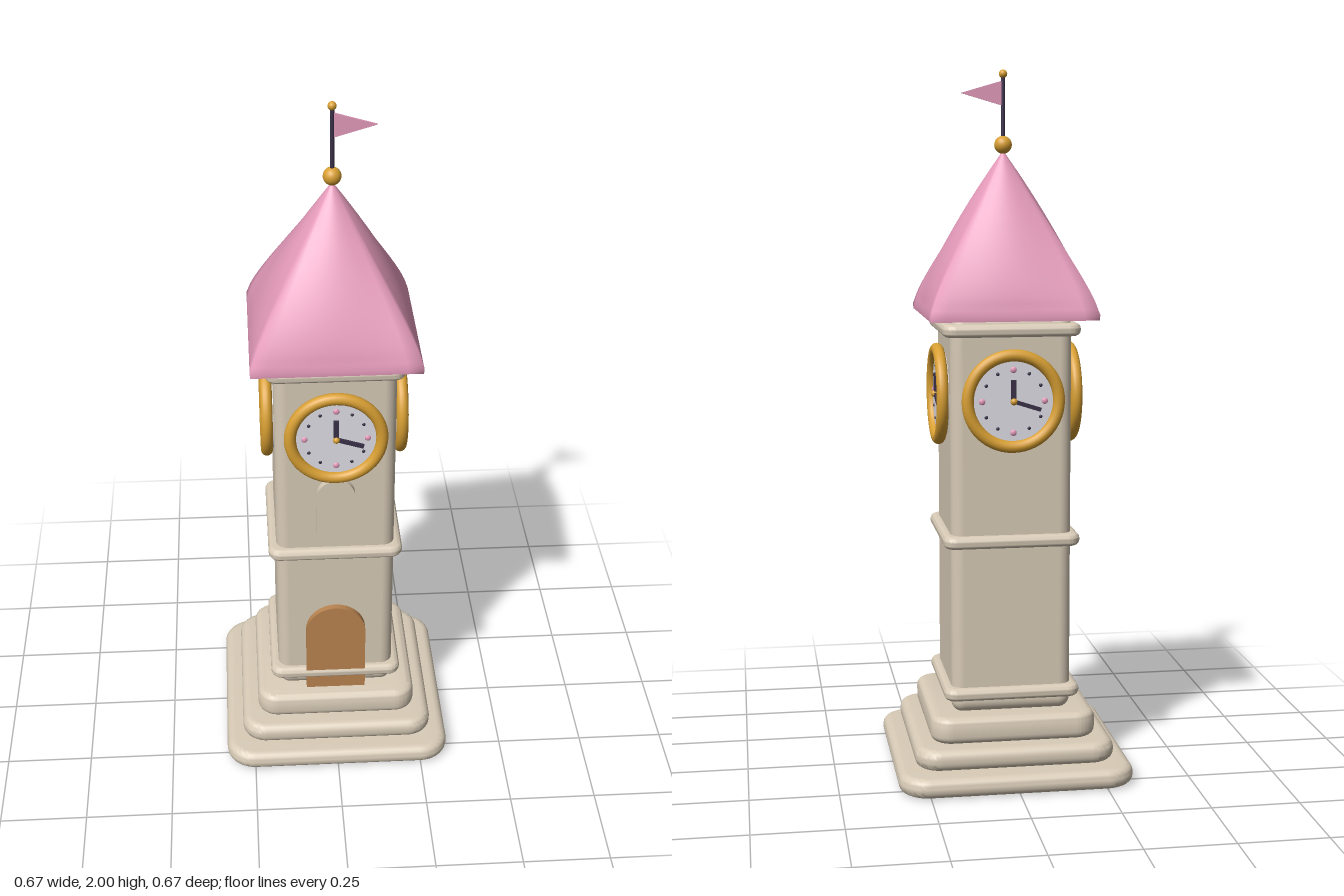
import * as THREE from 'three';
import { toCreasedNormals } from 'three/addons/utils/BufferGeometryUtils.js';
import { RoundedBoxGeometry } from 'three/addons/geometries/RoundedBoxGeometry.js';

const paint = (name, color) => {
  const m = new THREE.MeshStandardMaterial({ color });
  m.name = name;
  return m;
};

const STONE = paint('stone', 0xd8cbb7);
const ROOF = paint('roofPink', 0xe59bbb);
const GOLD = paint('gold', 0xd9a033);
const WOOD = paint('doorWood', 0xb98450);
const DIAL = paint('dialWhite', 0xe2e0e8);
const DARK = paint('darkPurple', 0x3a3048);
ROOF.side = THREE.DoubleSide;

function add(parent, name, geometry, material, x = 0, y = 0, z = 0) {
  const mesh = new THREE.Mesh(geometry, material);
  mesh.name = name;
  mesh.position.set(x, y, z);
  parent.add(mesh);
  return mesh;
}

// Square slab with rounded corners in plan and soft top and bottom edges
function slab(half, height, corner, bevel) {
  const h = half - bevel, r = corner - bevel;
  const s = new THREE.Shape();
  s.moveTo(h, -h + r);
  s.absarc(h - r, h - r, r, 0, Math.PI / 2);
  s.absarc(-h + r, h - r, r, Math.PI / 2, Math.PI);
  s.absarc(-h + r, -h + r, r, Math.PI, Math.PI * 1.5);
  s.absarc(h - r, -h + r, r, Math.PI * 1.5, Math.PI * 2);
  const g = new THREE.ExtrudeGeometry(s, {
    depth: height - 2 * bevel, bevelSize: bevel, bevelThickness: bevel, bevelSegments: 5, curveSegments: 8,
  });
  g.rotateX(-Math.PI / 2).translate(0, bevel, 0);
  return toCreasedNormals(g, 0.7);
}

// Arched panel standing on its base line
function arch(halfWidth, height, depth) {
  const s = new THREE.Shape();
  s.moveTo(-halfWidth, 0);
  s.lineTo(halfWidth, 0);
  s.absarc(0, height - halfWidth, halfWidth, 0, Math.PI);
  s.closePath();
  return new THREE.ExtrudeGeometry(s, { depth, bevelEnabled: false, curveSegments: 20 });
}

// Curved roof: square at the eaves, turning round towards the tip
function roofGeometry() {
  const SEG = 64, ROWS = 24, y0 = 1.345, y1 = 1.775;
  const rows = [[1.315, 0.233, 1], [1.33, 0.234, 1]];
  for (let i = 0; i <= ROWS; i++) {
    const s = i / ROWS;
    rows.push([y0 + (y1 - y0) * s, 0.228 * (1 - s ** 1.35) + 0.001, 1 - s]);
  }
  const pos = [], index = [];
  rows.forEach(([y, half, square], j) => {
    for (let i = 0; i < SEG; i++) {
      const a = (i / SEG) * Math.PI * 2, c = Math.cos(a), s = Math.sin(a);
      const r = half * (1 - square + square / Math.max(Math.abs(c), Math.abs(s)));
      pos.push(c * r, y, s * r);
      if (j === 0) continue;
      const n = (i + 1) % SEG, lo = (j - 1) * SEG, hi = j * SEG;
      index.push(lo + i, hi + i, lo + n, lo + n, hi + i, hi + n);
    }
  });
  const g = new THREE.BufferGeometry();
  g.setAttribute('position', new THREE.Float32BufferAttribute(pos, 3));
  g.setIndex(index);
  g.computeVertexNormals();
  return g;
}

function clock() {
  const g = new THREE.Group();
  g.name = 'clock';
  const disc = (r, depth) => new THREE.CylinderGeometry(r, r, depth, 40).rotateX(Math.PI / 2);
  add(g, 'dial', disc(0.125, 0.025), DIAL, 0, 0, 0.178);
  add(g, 'dialRing', new THREE.TorusGeometry(0.128, 0.017, 16, 56), GOLD, 0, 0, 0.19);
  // Hour marks, larger at the quarters
  for (let i = 0; i < 12; i++) {
    const a = (i / 12) * Math.PI * 2, major = i % 3 === 0;
    add(g, 'hourMark', new THREE.SphereGeometry(major ? 0.009 : 0.005, 12, 8), major ? ROOF : DARK,
      Math.sin(a) * 0.088, Math.cos(a) * 0.088, 0.191).scale.z = 0.5;
  }
  // Hands pivot on the hub
  const hand = (name, length, width, angle) => {
    const geo = new THREE.BoxGeometry(width, length, 0.008).translate(0, length / 2, 0);
    add(g, name, geo, DARK, 0, 0, 0.196).rotation.z = angle;
  };
  hand('hourHand', 0.06, 0.014, 0);
  hand('minuteHand', 0.08, 0.011, -1.88);
  add(g, 'hub', new THREE.SphereGeometry(0.01, 16, 10), GOLD, 0, 0, 0.198);
  return g;
}

export function createModel() {
  const model = new THREE.Group();
  model.name = 'clockTower';

  // Stepped base
  add(model, 'baseStep', slab(0.334, 0.056, 0.085, 0.025), STONE, 0, 0, 0);
  add(model, 'baseStep', slab(0.284, 0.06, 0.07, 0.025), STONE, 0, 0.06, 0);
  add(model, 'baseStep', slab(0.236, 0.075, 0.06, 0.022), STONE, 0, 0.121, 0);

  // Shaft and string courses
  add(model, 'shaft', new RoundedBoxGeometry(0.342, 1.14, 0.342, 5, 0.035), STONE, 0, 0.76, 0);
  for (const y of [0.25, 0.69, 1.285]) {
    add(model, 'stoneBand', slab(0.194, 0.036, 0.035, 0.016), STONE, 0, y - 0.018, 0);
  }

  // Door and blind window on the front
  add(model, 'door', arch(0.088, 0.298, 0.04), WOOD, 0, 0.197, 0.15);
  add(model, 'window', arch(0.055, 0.18, 0.04), STONE, 0, 0.768, 0.152);

  // One clock on each side
  for (let i = 0; i < 4; i++) {
    const c = clock();
    c.position.y = 1.09;
    c.rotation.y = (i * Math.PI) / 2;
    model.add(c);
  }

  // Roof and its flat underside
  add(model, 'roof', roofGeometry(), ROOF);
  add(model, 'roofUnderside', new THREE.PlaneGeometry(0.466, 0.466).rotateX(Math.PI / 2), ROOF, 0, 1.315, 0);

  // Finial, pole and pennant
  add(model, 'finialBall', new THREE.SphereGeometry(0.025, 24, 16), GOLD, 0, 1.792, 0);
  add(model, 'flagPole', new THREE.CylinderGeometry(0.006, 0.006, 0.2, 12), DARK, 0, 1.89, 0);
  add(model, 'poleTip', new THREE.SphereGeometry(0.012, 16, 12), GOLD, 0, 1.988, 0);
  const pennant = new THREE.Shape([[0, 1.9], [0.12, 1.935], [0, 1.97]].map(([x, y]) => new THREE.Vector2(x, y)));
  add(model, 'pennant', new THREE.ExtrudeGeometry(pennant, { depth: 0.006, bevelEnabled: false }), ROOF, 0, 0, -0.003);

  return model;
}
